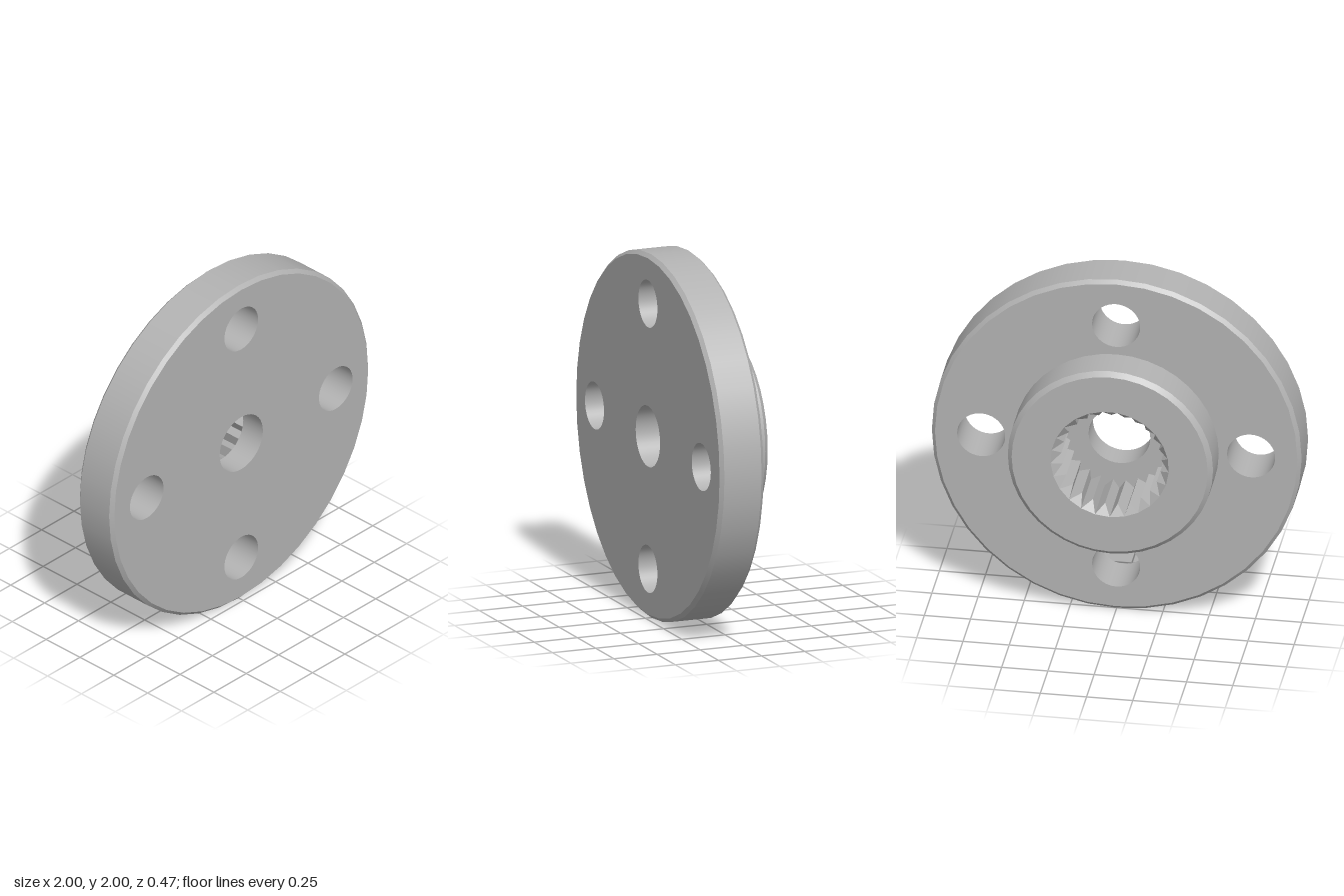
import * as THREE from 'three';

const SIDES = 40, TEETH = 25;
const BACK = -0.235, STEP = -0.02, FRONT = 0.235, FLOOR = 0.09;
const ROOT = 0.32, TIP = 0.27, BORE = 0.167;

export function createModel() {
  const steel = new THREE.MeshStandardMaterial({ color: 0xb2b2b2 });
  steel.name = 'grey metal';
  const model = new THREE.Group();
  model.name = 'splinedFlange';

  function add(parent, name, geometry) {
    const mesh = new THREE.Mesh(geometry, steel);
    mesh.name = name;
    parent.add(mesh);
    return mesh;
  }
  function group(name) {
    const g = new THREE.Group();
    g.name = name;
    g.position.y = 1;
    model.add(g);
    return g;
  }

  // Band of revolution about z; increasing z faces out, decreasing z faces in
  function band(parent, name, r1, z1, r2, z2, n = SIDES) {
    const pts = [new THREE.Vector2(r1, z1), new THREE.Vector2(r2, z2)];
    return add(parent, name, new THREE.LatheGeometry(pts, n).rotateX(Math.PI / 2));
  }
  function circle(r, x = 0, y = 0, n = SIDES) {
    return Array.from({ length: n }, (_, i) => {
      const a = -Math.PI / 2 + (i / n) * Math.PI * 2;
      return new THREE.Vector2(x + r * Math.cos(a), y + r * Math.sin(a));
    });
  }
  // Flat round face with holes, turned to the front or back
  function face(parent, name, r, z, holes, back) {
    const shape = new THREE.Shape(circle(r));
    shape.holes = holes.map((h) => new THREE.Path(h));
    const geometry = new THREE.ShapeGeometry(shape);
    if (back) geometry.rotateY(Math.PI);
    add(parent, name, geometry.translate(0, 0, z));
  }

  const boltCentres = [[0.73, 0], [0, 0.73], [-0.73, 0], [0, -0.73]];
  const boltCircles = boltCentres.map(([x, y]) => circle(0.13, x, y));

  // Main disc with chamfered rims
  const disc = group('disc');
  face(disc, 'frontFace', 0.98, FRONT, [circle(BORE), ...boltCircles], false);
  face(disc, 'backFace', 0.98, STEP, [circle(0.555), ...boltCircles], true);
  band(disc, 'backChamfer', 0.98, STEP, 1, STEP + 0.02);
  band(disc, 'rim', 1, STEP + 0.02, 1, FRONT - 0.02);
  band(disc, 'frontChamfer', 1, FRONT - 0.02, 0.98, FRONT);
  for (const [x, y] of boltCentres) {
    band(disc, 'boltHole', 0.13, FRONT, 0.13, STEP).position.set(x, y, 0);
  }

  // Raised hub on the back
  const hub = group('hub');
  face(hub, 'hubFace', 0.53, BACK, [circle(ROOT, 0, 0, TEETH)], true);
  band(hub, 'hubChamfer', 0.53, BACK, 0.555, BACK + 0.025);
  band(hub, 'hubWall', 0.555, BACK + 0.025, 0.555, STEP);

  // Centre bore and socket floor
  const socket = group('socket');
  band(socket, 'centreBore', BORE, FRONT, BORE, FLOOR);
  band(socket, 'socketFloor', BORE, FLOOR, ROOT + 0.005, FLOOR);

  // Internal spline: V teeth with a conical lead-in at the mouth
  const positions = [];
  const step = (Math.PI * 2) / TEETH;
  for (let i = 0; i < TEETH; i++) {
    const a = -Math.PI / 2 + i * step;
    const p = (r, t, z) => [r * Math.cos(a + t * step), r * Math.sin(a + t * step), z];
    const a0 = p(ROOT, 0, BACK), a1 = p(ROOT, 0, FLOOR);
    const b0 = p(ROOT, 1, BACK), b1 = p(ROOT, 1, FLOOR);
    const t0 = p(TIP, 0.5, BACK + 0.06), t1 = p(TIP, 0.5, FLOOR);
    for (const v of [a0, t0, b0, a0, a1, t1, a0, t1, t0, b0, t1, b1, b0, t0, t1]) positions.push(...v);
  }
  const spline = new THREE.BufferGeometry();
  spline.setAttribute('position', new THREE.Float32BufferAttribute(positions, 3));
  spline.computeVertexNormals();
  add(socket, 'splineTeeth', spline);

  return model;
}
